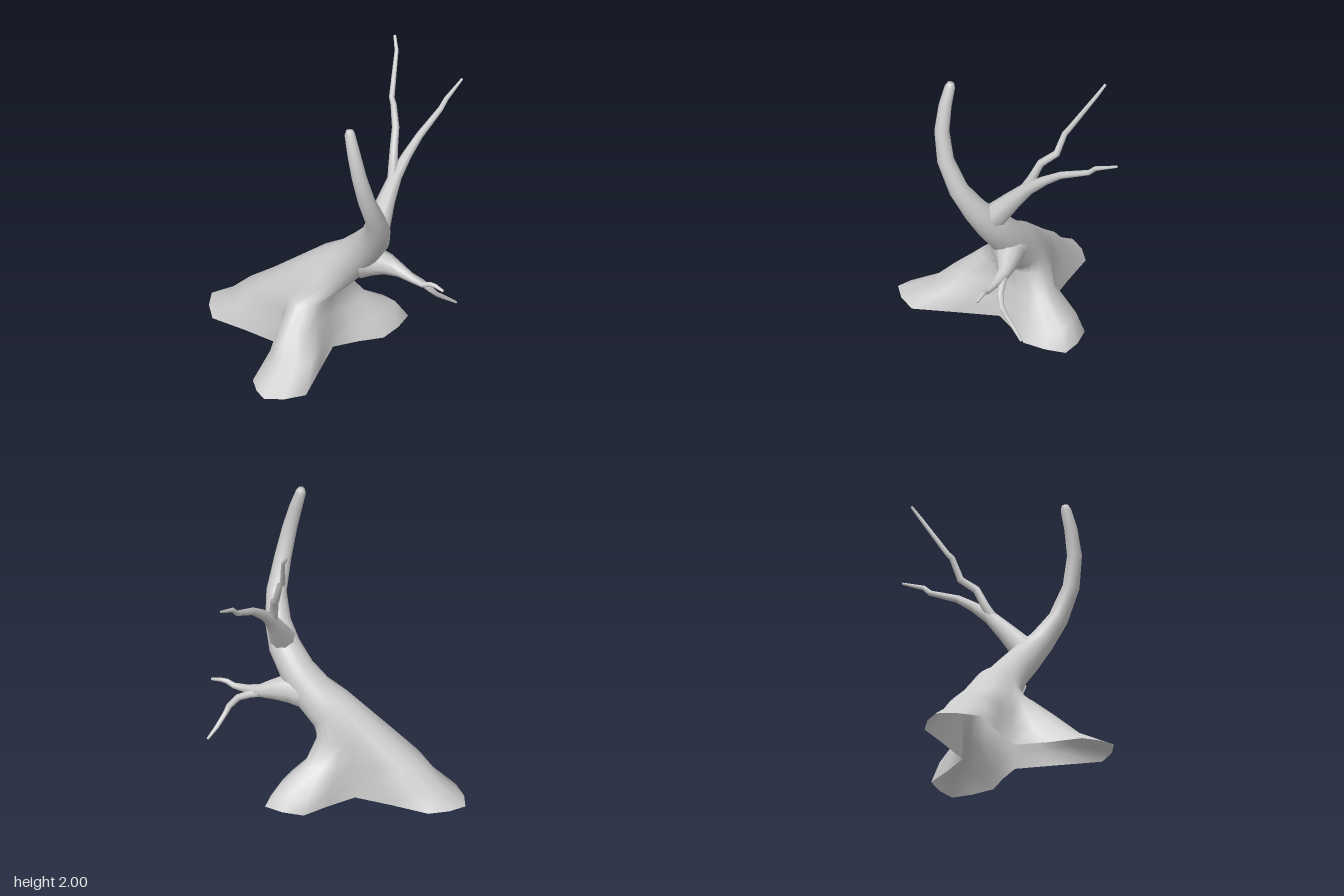
import * as THREE from 'three';

const V = (x, y, z) => new THREE.Vector3(x, y, z);
const material = new THREE.MeshStandardMaterial({ color: 0xcccccc, side: THREE.DoubleSide });

// Skin over rings that all have the same number of points
function loft(name, rings) {
  const n = rings[0].length, index = [];
  for (let i = 0; i < rings.length - 1; i++) {
    for (let j = 0; j < n; j++) {
      const a = i * n + j, b = i * n + (j + 1) % n;
      index.push(a, b, b + n, a, b + n, a + n);
    }
  }
  const geometry = new THREE.BufferGeometry().setFromPoints(rings.flat());
  geometry.setIndex(index);
  geometry.computeVertexNormals();
  const mesh = new THREE.Mesh(geometry, material);
  mesh.name = name;
  return mesh;
}

// Circles square to a path of [x, y, z, radius], closed at the far end
function circles(path, sides, startAngle = 0) {
  const centers = path.map(([x, y, z]) => V(x, y, z));
  const rings = centers.map((c, i) => {
    const dir = centers[Math.min(i + 1, centers.length - 1)].clone()
      .sub(centers[Math.max(i - 1, 0)]).normalize();
    const u = V(0, 0, 1).cross(dir).normalize();
    const v = dir.clone().cross(u);
    return Array.from({ length: sides }, (_, j) => {
      const t = startAngle + j / sides * Math.PI * 2;
      return c.clone().addScaledVector(u, path[i][3] * Math.cos(t)).addScaledVector(v, path[i][3] * Math.sin(t));
    });
  });
  const end = centers[centers.length - 1];
  rings.push(rings[0].map(() => end.clone()));
  return rings;
}

// Three-lobed outline at height y, through [x, z] points
function outline(y, points, sides) {
  const curve = new THREE.CatmullRomCurve3(points.map(([x, z]) => V(x, y, z)), true, 'catmullrom', 0.25);
  return Array.from({ length: sides }, (_, j) => curve.getPoint(j / sides));
}

export function createModel() {
  const tree = new THREE.Group();
  tree.name = 'deadTree';

  // Trunk with flared roots: left root, front root, back root, with valleys between
  const sides = 24;
  const roots = [
    [0, [[-0.68, -0.04], [-0.85, 0.15], [-0.67, 0.37], [-0.18, 0.33], [-0.04, 0.75], [0.15, 0.87],
      [0.33, 0.67], [0.13, 0.14], [0.32, -0.14], [0.29, -0.43], [0.02, -0.42], [-0.17, -0.07]]],
    [0.12, [[-0.54, -0.03], [-0.68, 0.14], [-0.53, 0.32], [-0.17, 0.3], [-0.05, 0.56], [0.1, 0.64],
      [0.24, 0.5], [0.12, 0.13], [0.25, -0.13], [0.23, -0.37], [0.01, -0.35], [-0.16, -0.07]]],
    [0.24, [[-0.46, 0], [-0.56, 0.12], [-0.45, 0.28], [-0.16, 0.29], [-0.07, 0.45], [0.04, 0.51],
      [0.13, 0.4], [0.1, 0.13], [0.14, -0.08], [0.13, -0.2], [0, -0.19], [-0.16, -0.07]]],
    [0.38, [[-0.3, -0.01], [-0.38, 0.1], [-0.3, 0.23], [-0.16, 0.28], [-0.06, 0.33], [0.01, 0.35],
      [0.09, 0.28], [0.11, 0.13], [0.12, 0], [0.08, -0.11], [-0.03, -0.13], [-0.16, -0.08]]],
  ];
  const trunk = [
    [0.06, 0.545, 0.04, 0.155], [0.18, 0.65, 0.022, 0.132], [0.29, 0.775, 0.022, 0.115],
    [0.4, 0.91, 0.06, 0.103], [0.48, 1.04, 0.125, 0.083], [0.535, 1.2, 0.215, 0.065],
    [0.537, 1.4, 0.31, 0.055], [0.51, 1.6, 0.352, 0.048], [0.465, 1.77, 0.352, 0.042],
    [0.425, 1.89, 0.34, 0.034], [0.42, 1.92, 0.335, 0.022],
  ];
  tree.add(loft('trunkAndRoots', [
    ...roots.map(([y, points]) => outline(y, points, sides)),
    ...circles(trunk, sides, -Math.PI / 6),
  ]));

  // Branches and twigs
  const branches = {
    lowerBranch: [
      [0.26, 0.66, 0, 0.125], [0.33, 0.66, -0.035, 0.097], [0.41, 0.65, -0.07, 0.07], [0.5, 0.625, -0.09, 0.043],
      [0.6, 0.61, -0.085, 0.028], [0.69, 0.605, -0.08, 0.02], [0.74, 0.628, -0.085, 0.017],
      [0.78, 0.63, -0.09, 0.014], [0.845, 0.617, -0.09, 0.009],
    ],
    lowerTwig: [
      [0.49, 0.62, -0.09, 0.035], [0.56, 0.595, -0.115, 0.026], [0.63, 0.565, -0.14, 0.022], [0.675, 0.51, -0.175, 0.02],
      [0.69, 0.46, -0.215, 0.016], [0.71, 0.4, -0.285, 0.014], [0.74, 0.34, -0.355, 0.008],
    ],
    upperBranch: [
      [0.41, 0.94, 0.07, 0.09], [0.395, 1.015, 0, 0.078], [0.38, 1.125, -0.09, 0.06], [0.37, 1.25, -0.2, 0.043],
      [0.37, 1.35, -0.32, 0.032], [0.375, 1.435, -0.44, 0.025], [0.38, 1.53, -0.65, 0.018],
      [0.385, 1.58, -0.7, 0.016], [0.388, 1.65, -0.86, 0.008],
    ],
    upperTwig: [
      [0.37, 1.22, -0.16, 0.03], [0.34, 1.31, -0.21, 0.03], [0.31, 1.43, -0.26, 0.026], [0.255, 1.5, -0.345, 0.024],
      [0.21, 1.64, -0.38, 0.02], [0.18, 1.67, -0.4, 0.018], [0.1, 1.92, -0.55, 0.013], [0.053, 1.995, -0.59, 0.009],
    ],
  };
  for (const [name, path] of Object.entries(branches)) tree.add(loft(name, circles(path, 8)));

  return tree;
}
